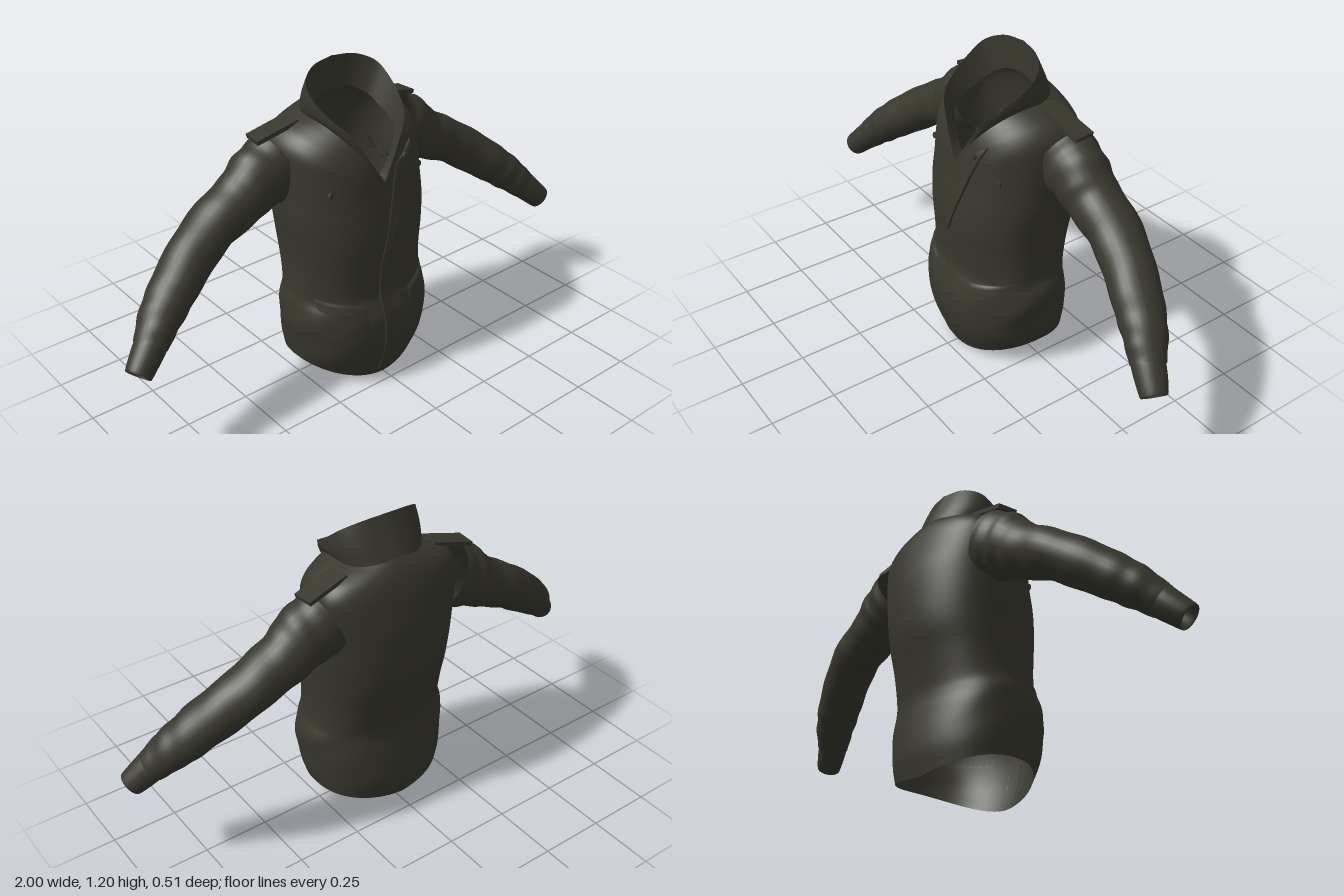
import * as THREE from 'three';
import { mergeVertices } from 'three/addons/utils/BufferGeometryUtils.js';

const cloth = new THREE.MeshStandardMaterial({ color: 0x38372d, side: THREE.DoubleSide });
cloth.name = 'dark olive cloth';

// Smooth sheet from a function of u and v (0..1)
function sheet(name, nu, nv, fn) {
  const pos = [], index = [];
  for (let j = 0; j <= nv; j++)
    for (let i = 0; i <= nu; i++) pos.push(...fn(i / nu, j / nv));
  for (let j = 0; j < nv; j++)
    for (let i = 0; i < nu; i++) {
      const a = j * (nu + 1) + i, b = a + nu + 1;
      index.push(a, a + 1, b, a + 1, b + 1, b);
    }
  let g = new THREE.BufferGeometry();
  g.setAttribute('position', new THREE.Float32BufferAttribute(pos, 3));
  g.setIndex(index);
  g = mergeVertices(g, 1e-5);
  g.computeVertexNormals();
  const mesh = new THREE.Mesh(g, cloth);
  mesh.name = name;
  return mesh;
}

// Smooth interpolation through evenly spaced rows of numbers
function rowsCurve(rows) {
  const n = rows[0].length;
  const spline = new THREE.CubicInterpolant(rows.map((_, i) => i), rows.flat(), n, new Array(n));
  return t => Array.from(spline.evaluate(t * (rows.length - 1)));
}

// Torso rings: front y, side y, back y, half width, front z, back z, side z
const torsoAt = rowsCurve([
  [0.003, 0.088, 0.04, 0.265, 0.203, -0.20, 0],
  [0.10, 0.14, 0.12, 0.276, 0.238, -0.212, 0.01],
  [0.19, 0.205, 0.19, 0.284, 0.253, -0.21, 0.01],
  [0.27, 0.27, 0.27, 0.292, 0.25, -0.20, 0.01],
  [0.33, 0.33, 0.33, 0.287, 0.232, -0.192, 0.01],
  [0.38, 0.38, 0.38, 0.272, 0.216, -0.195, 0.005],
  [0.48, 0.48, 0.48, 0.269, 0.219, -0.216, 0],
  [0.58, 0.58, 0.58, 0.275, 0.223, -0.243, 0],
  [0.67, 0.68, 0.68, 0.284, 0.216, -0.252, -0.01],
  [0.73, 0.78, 0.80, 0.286, 0.207, -0.25, -0.04],
  [0.765, 0.88, 0.89, 0.29, 0.202, -0.235, -0.075],
  [0.79, 0.95, 0.95, 0.284, 0.198, -0.222, -0.085],
  [0.80, 0.995, 1.0, 0.252, 0.196, -0.205, -0.08],
  [0.81, 1.02, 1.035, 0.205, 0.195, -0.186, -0.06],
  [0.815, 1.035, 1.06, 0.16, 0.193, -0.165, -0.03],
]);
function torsoPoint(u, v) {
  const [yf, ys, yb, hw, zf, zb, zs] = torsoAt(v);
  const a = Math.PI / 2 - u * Math.PI * 2;
  const bend = w => Math.abs(w) < 1e-9 ? 0 : Math.sign(w) * Math.pow(Math.abs(w), 0.86);
  const c = bend(Math.cos(a)), s = bend(Math.sin(a));
  // the front edge is rounded at the hem and a straight V at the neck
  const k = s > 0 ? Math.pow(Math.abs(c), 1 + 0.6 * (1 - v)) : Math.sqrt(Math.max(0, 1 - s * s));
  const yEnd = s > 0 ? yf : yb;
  // soft creases around the waist
  const crease = 1 + 0.014 * Math.sin(a * 5 + v * 30) * Math.exp(-Math.pow((v - 0.25) * 7, 2));
  return [c * hw * crease, yEnd + (ys - yEnd) * k, zs + ((s > 0 ? zf : zb) - zs) * Math.abs(s)];
}

// Sleeve stations: centre x, y, z, radius across, radius front to back
const sleeveAt = rowsCurve([
  [0.262, 0.872, -0.09, 0.13, 0.11],
  [0.345, 0.832, -0.086, 0.121, 0.107],
  [0.435, 0.775, -0.085, 0.099, 0.099],
  [0.585, 0.695, -0.075, 0.088, 0.095],
  [0.745, 0.58, -0.022, 0.081, 0.088],
  [0.83, 0.51, 0.015, 0.071, 0.078],
  [0.895, 0.447, 0.052, 0.058, 0.062],
]);
const cuffAt = rowsCurve([
  [0.87, 0.471, 0.04, 0.05, 0.052],
  [0.89, 0.452, 0.05, 0.056, 0.058],
  [0.93, 0.413, 0.067, 0.052, 0.055],
  [0.967, 0.377, 0.084, 0.046, 0.046],
  [0.95, 0.392, 0.077, 0.038, 0.04],
  [0.90, 0.44, 0.055, 0.036, 0.038],
]);
const cuffAxis = new THREE.Vector3(0.66, -0.63, 0.3).normalize();
function tubePoint(at, u, v, wrinkle, axis) {
  const [x, y, z, rn, rz] = at(v);
  const p = at(Math.max(0, v - 0.02)), q = at(Math.min(1, v + 0.02));
  const t = axis ?? new THREE.Vector3(q[0] - p[0], q[1] - p[1], q[2] - p[2]).normalize();
  const n = new THREE.Vector3(-t.y, t.x, 0).normalize();
  const b = new THREE.Vector3().crossVectors(t, n);
  const a = u * Math.PI * 2;
  const f = 1 + wrinkle * (Math.sin(v * 48 + 2 * Math.sin(a)) + 0.7 * Math.sin(v * 29 + 3 * Math.cos(a)));
  return new THREE.Vector3(x, y, z)
    .addScaledVector(n, rn * f * Math.cos(a))
    .addScaledVector(b, rz * f * Math.sin(a)).toArray();
}

// Collar edges from the bottom of the neck opening round to the back
const collarTop = rowsCurve([
  [0, 0.818, 0.196],
  [0.06, 0.915, 0.182],
  [0.12, 1.015, 0.156],
  [0.157, 1.065, 0.09],
  [0.172, 1.115, 0.012],
  [0.157, 1.16, -0.045],
  [0.093, 1.19, -0.085],
  [0, 1.2, -0.1],
]);
const collarInside = rowsCurve([
  [0, 0.815, 0.155],
  [0.06, 0.885, 0.145],
  [0.105, 0.95, 0.12],
  [0.13, 0.985, 0.07],
  [0.135, 1.01, 0],
  [0.122, 1.04, -0.05],
  [0.075, 1.068, -0.085],
  [0, 1.075, -0.098],
]);
function onEdge(edge, u) {
  const [x, y, z] = edge(1 - Math.abs(1 - 2 * u));
  return [u > 0.5 ? -x : x, y, z];
}
const between = (p, q, t) => p.map((w, i) => w + (q[i] - w) * t);
function collarPoint(u, v) {
  const [x, y, z] = between(torsoPoint(u, 1), onEdge(collarTop, u), v);
  return [x * (1 + 0.05 * Math.sin(v * Math.PI)), y, z];
}

// Raised cloth panel on the front of the torso; corners are in x, y
const ray = new THREE.Raycaster();
function frontZ(torso, x, y) {
  ray.set(new THREE.Vector3(x, y, 3), new THREE.Vector3(0, 0, -1));
  return ray.intersectObject(torso)[0]?.point.z ?? 0.19;
}
function panel(name, torso, [a, b, c, d], lift) {
  const n = 14;
  // the outer rows sink into the cloth to make an edge
  const grow = t => THREE.MathUtils.clamp((t * n - 1) / (n - 2), 0, 1) * 0.98 + (t > 0.99 ? 0.02 : t < 0.01 ? 0 : 0.01);
  return sheet(name, n, n, (u, v) => {
    const [x, y] = between(between(a, b, grow(u)), between(d, c, grow(u)), grow(v));
    const edge = Math.min(u, 1 - u, v, 1 - v) < 0.01;
    return [x, y, frontZ(torso, x, y) + (edge ? -0.001 : lift(u, v))];
  });
}
function button(torso, x, y, lift) {
  const m = new THREE.Mesh(new THREE.CylinderGeometry(0.012, 0.013, 0.008, 16), cloth);
  m.name = 'button';
  m.rotation.x = Math.PI / 2 - 0.2;
  m.position.set(x, y, frontZ(torso, x, y) + lift);
  return m;
}

export function createModel() {
  const group = new THREE.Group();
  const torso = sheet('torso', 72, 70, torsoPoint);
  group.add(torso, sheet('collar', 84, 10, collarPoint));
  group.add(sheet('collarLining', 84, 8, (u, v) => between(onEdge(collarTop, u), onEdge(collarInside, u), v)));

  // Sleeves, shoulder straps, pockets and chest buttons, mirrored
  const half = new THREE.Group();
  half.name = 'leftSide';
  half.add(sheet('sleeve', 28, 60, (u, v) => tubePoint(sleeveAt, 1 - u, v, 0.018)));
  half.add(sheet('cuff', 28, 20, (u, v) => tubePoint(cuffAt, 1 - u, v, 0, cuffAxis)));
  const strap = new THREE.Mesh(new THREE.BoxGeometry(0.17, 0.016, 0.08), cloth);
  strap.name = 'shoulderStrap';
  strap.position.set(0.272, 1.002, -0.088);
  strap.rotation.set(0, 0.1, -0.25);
  half.add(strap);
  half.add(panel('pocket', torso, [[0.1, 0.2], [0.25, 0.22], [0.25, 0.385], [0.1, 0.35]],
    (u, v) => 0.012 * Math.sin(u * Math.PI) * v * v));
  half.add(button(torso, 0.2, 0.81, 0.001));
  const other = half.clone();
  other.name = 'rightSide';
  other.scale.x = -1;
  group.add(half, other);

  // Front closure with a slanted overlap
  group.add(panel('frontPlacket', torso, [[-0.035, 0.03], [0.03, 0.03], [0.02, 0.54], [-0.035, 0.51]],
    u => 0.005 * (1 - u)));
  group.add(panel('slantedFlap', torso, [[-0.035, 0.5], [0.0, 0.55], [0.15, 0.93], [0.055, 0.87]],
    u => 0.002 + 0.007 * u));
  group.add(button(torso, 0.105, 0.885, 0.009));
  return group;
}
